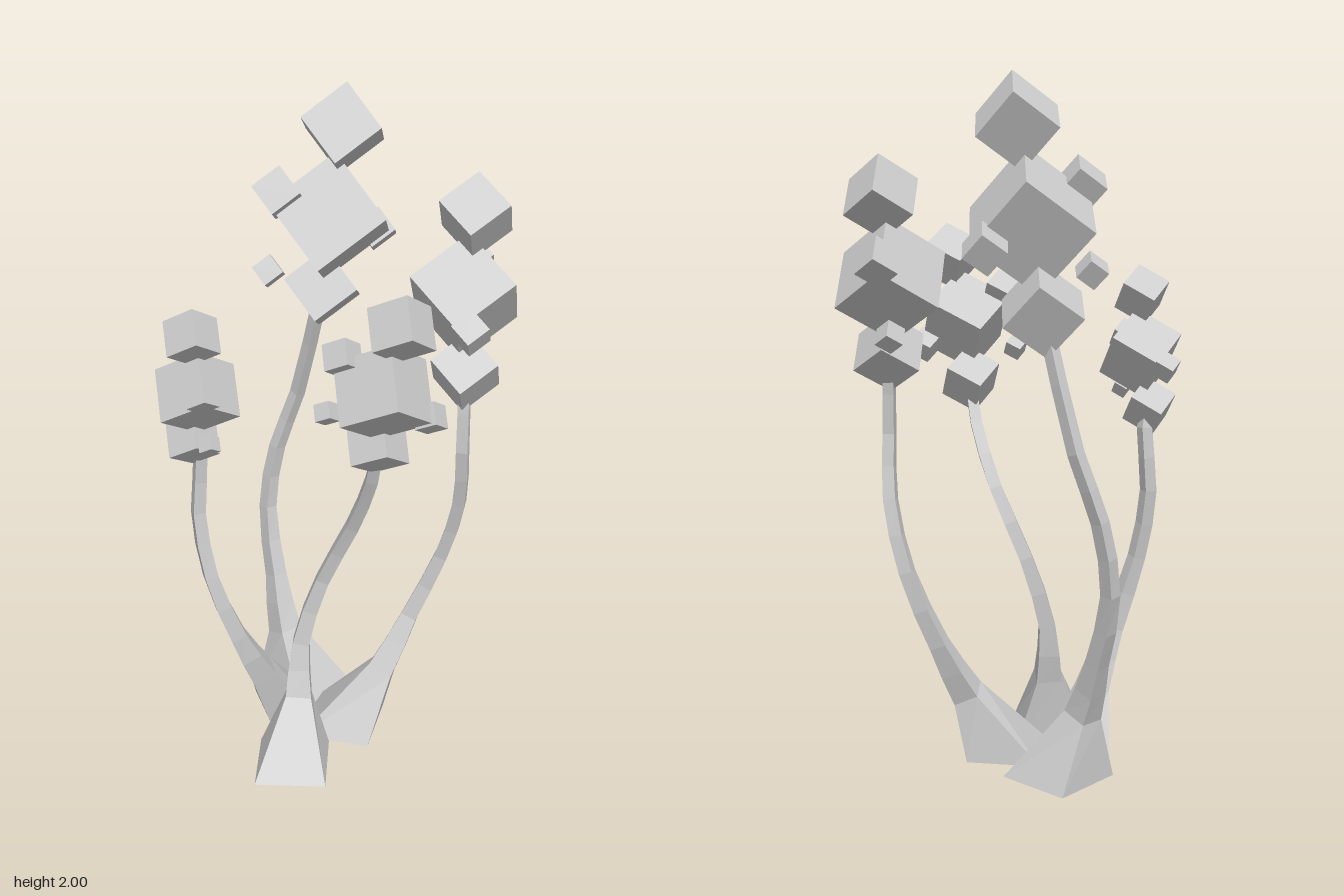
import * as THREE from 'three';

const material = new THREE.MeshStandardMaterial({ color: 0xcccccc, flatShading: true, side: THREE.DoubleSide });
const box = new THREE.BoxGeometry(1, 1, 1);
const UP = new THREE.Vector3(0, 1, 0);

// Every plant carries the same cluster, measured in edges of its main cube.
const CLUSTER = [
  { name: 'mainCube', size: 1, at: [0, 0, 0] },
  { name: 'lowerCube', size: 0.65, at: [0.54, -0.66, 0.58] },
  { name: 'upperCube', size: 0.67, at: [-0.66, 0.54, -0.73] },
  { name: 'smallCubeHigh', size: 0.41, at: [-0.53, 0.5, 0.33] },
  { name: 'smallCubeOpposite', size: 0.36, at: [0.36, -0.62, -0.39] },
  { name: 'smallCubeLow', size: 0.27, at: [0.08, 0.06, 0.98] },
];

// The cluster's cubes stand almost on a corner.
const axisA = new THREE.Vector3(-0.44, -0.6, -0.66).normalize();
const axisB = new THREE.Vector3(0.77, -0.62, 0.03).cross(axisA).normalize();
const axisC = new THREE.Vector3().crossVectors(axisA, axisB);
const TILT = new THREE.Quaternion().setFromRotationMatrix(new THREE.Matrix4().makeBasis(axisA, axisB, axisC));

// Heights and half-widths shared by all stalks, above the foot.
const HEIGHTS = [0.015, 0.21, 0.38, 0.6, 0.81, 1.0];
const RADII = [0.055, 0.035, 0.028, 0.026, 0.024, 0.022];

// Square-section stalk along a curve, on a straight flared foot that is open below.
function stalkGeometry(points, footRadius, angle) {
  const curve = new THREE.CatmullRomCurve3(points);
  const radii = [footRadius, ...RADII];
  const last = points.length - 1;
  const steps = [0];
  for (let s = 1; s <= last; s += 0.5) steps.push(s);
  const positions = [], index = [];
  steps.forEach((s, ring) => {
    const centre = curve.getPoint(s / last);
    const t = ring === 0 ? UP : curve.getTangent(s / last);
    const i = Math.min(Math.floor(s), last - 1);
    const radius = THREE.MathUtils.lerp(radii[i], radii[i + 1], s - i);
    const u = new THREE.Vector3(Math.cos(angle), 0, Math.sin(angle));
    u.addScaledVector(t, -u.dot(t)).normalize();
    const v = new THREE.Vector3().crossVectors(t, u);
    for (let k = 0; k < 4; k++) {
      const a = k * Math.PI / 2;
      const p = centre.clone().addScaledVector(u, radius * Math.cos(a)).addScaledVector(v, radius * Math.sin(a));
      positions.push(p.x, p.y, p.z);
      if (ring < steps.length - 1) {
        const low = ring * 4 + k, next = ring * 4 + (k + 1) % 4;
        index.push(low, next, next + 4, low, next + 4, low + 4);
      }
    }
  });
  const geometry = new THREE.BufferGeometry();
  geometry.setAttribute('position', new THREE.Float32BufferAttribute(positions, 3));
  geometry.setIndex(index);
  const flat = geometry.toNonIndexed();
  flat.computeVertexNormals();
  return flat;
}

// path: [x, z] of the stalk at each shared height; it ends inside the lower cube.
// lean: how far the cluster's axis tips towards x and z.
function makePlant({ name, path, foot, footAngle, centre, edge, yaw, lean }) {
  const plant = new THREE.Group();
  plant.name = name;

  const cluster = new THREE.Group();
  cluster.name = 'cubeCluster';
  cluster.position.set(...centre);
  const turn = new THREE.Quaternion().setFromAxisAngle(UP, -THREE.MathUtils.degToRad(yaw));
  const axis = new THREE.Vector3(lean[0], 1, lean[1]).normalize();
  cluster.quaternion.setFromUnitVectors(UP, axis).multiply(turn).multiply(TILT);
  cluster.scale.setScalar(edge);
  for (const part of CLUSTER) {
    const cube = new THREE.Mesh(box, material);
    cube.name = part.name;
    cube.position.set(...part.at);
    cube.scale.setScalar(part.size);
    cluster.add(cube);
  }
  cluster.updateMatrix();

  const points = path.map(([x, z], i) => new THREE.Vector3(x, HEIGHTS[i], z));
  points.push(new THREE.Vector3(...CLUSTER[1].at).applyMatrix4(cluster.matrix));
  const stalk = new THREE.Mesh(stalkGeometry(points, foot, footAngle), material);
  stalk.name = 'stalk';
  plant.add(stalk, cluster);
  return plant;
}

export function createModel() {
  const model = new THREE.Group();
  model.name = 'cubePlants';
  model.add(
    makePlant({
      name: 'backLeftPlant', foot: 0.16, footAngle: 0.9,
      path: [[-0.21, -0.07], [-0.28, -0.05], [-0.345, -0.08], [-0.41, -0.115], [-0.4, -0.155], [-0.35, -0.2]],
      centre: [-0.18, 1.618, -0.168], edge: 0.238, yaw: 116, lean: [0.14, 0],
    }),
    makePlant({
      name: 'backRightPlant', foot: 0.155, footAngle: 0.31,
      path: [[0.02, 0], [0.1, -0.1], [0.135, -0.19], [0.205, -0.25], [0.265, -0.25], [0.287, -0.225]],
      centre: [0.235, 1.45, -0.272], edge: 0.208, yaw: 240, lean: [0, -0.16],
    }),
    makePlant({
      name: 'frontLeftPlant', foot: 0.115, footAngle: -0.27,
      path: [[-0.18, 0.05], [-0.17, 0.17], [-0.19, 0.25], [-0.24, 0.305], [-0.275, 0.31], [-0.265, 0.3]],
      centre: [-0.226, 1.22, 0.334], edge: 0.157, yaw: 36, lean: [0.08, 0.12],
    }),
    makePlant({
      name: 'frontRightPlant', foot: 0.152, footAngle: 0.1,
      path: [[0.045, 0.26], [0, 0.18], [-0.02, 0.145], [0.025, 0.095], [0.12, 0.07], [0.205, 0.085]],
      centre: [0.285, 1.31, 0.137], edge: 0.18, yaw: 156, lean: [0.24, 0],
    }),
  );
  return model;
}
